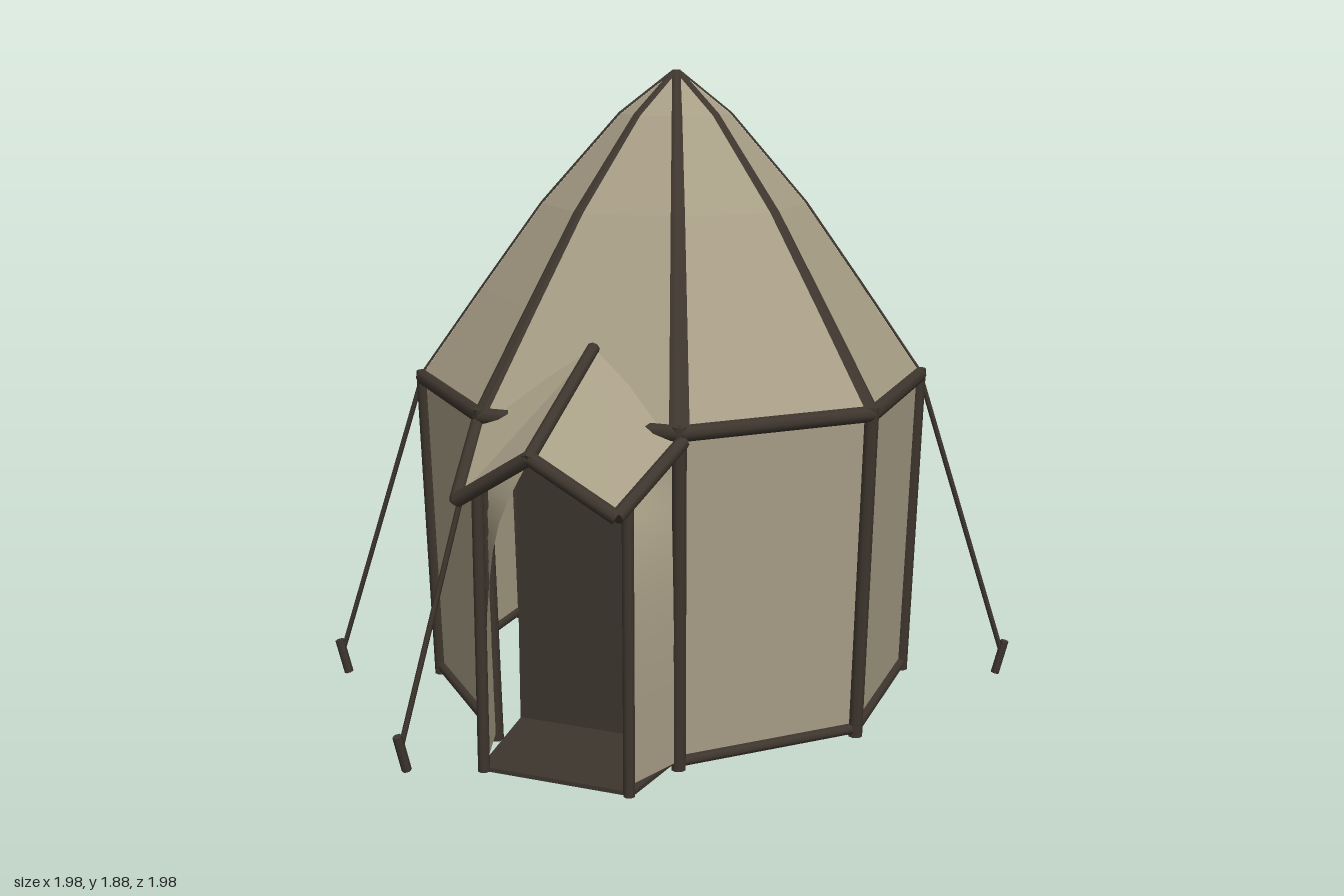
import * as THREE from 'three';

const cloth = new THREE.MeshStandardMaterial({ color: 0xa89e86, side: THREE.DoubleSide });
cloth.name = 'canvas';
const wood = new THREE.MeshStandardMaterial({ color: 0x3e362e, side: THREE.DoubleSide });
wood.name = 'darkWood';

const V = (x, y, z) => new THREE.Vector3(x, y, z);

// Point on octagon corner i (corner 0 is front left), scaled about the tent axis
function corner(i, s, y, shift = 0) {
  const a = (i + 0.5) * Math.PI / 4, r = 0.757 * s;
  return V(Math.sin(a) * r, y, -0.03 - shift + Math.cos(a) * r);
}

// Surface through rows of points, flat faceted unless smooth
function loft(name, rows, material, smooth = false) {
  const pos = [], index = [], n = rows[0].length;
  rows.forEach(row => row.forEach(p => pos.push(p.x, p.y, p.z)));
  for (let r = 0; r < rows.length - 1; r++) {
    for (let k = 0; k < n - 1; k++) {
      const a = r * n + k, b = a + n;
      index.push(a, a + 1, b + 1, a, b + 1, b);
    }
  }
  let g = new THREE.BufferGeometry();
  g.setAttribute('position', new THREE.Float32BufferAttribute(pos, 3));
  g.setIndex(index);
  if (!smooth) g = g.toNonIndexed();
  g.computeVertexNormals();
  const m = new THREE.Mesh(g, material);
  m.name = name;
  return m;
}

// Round pole between two points
function pole(name, a, b, r, sides = 8) {
  const m = new THREE.Mesh(new THREE.CylinderGeometry(r, r, a.distanceTo(b), sides), wood);
  m.position.copy(a).add(b).multiplyScalar(0.5);
  m.quaternion.setFromUnitVectors(V(0, 1, 0), b.clone().sub(a).normalize());
  m.name = name;
  return m;
}

// Main roof profile: scale, height
const PROFILE = [[1, 0.975], [0.76, 1.235], [0.52, 1.49], [0.215, 1.754], [0.012, 1.875]];
const roofPoint = (i, [s, y]) => corner(i, s, y, 0.035 * (1 - s));

function createRoof() {
  const g = new THREE.Group();
  g.name = 'roof';
  for (let i = 0; i < 8; i++) {
    g.add(loft('roofPanel', PROFILE.map(p => [roofPoint(i, p), roofPoint(i + 1, p)]), cloth));
    // Tapered rib, slightly raised along its middle
    const a = (i + 0.5) * Math.PI / 4;
    const out = V(Math.sin(a) * 0.75, 0.66, Math.cos(a) * 0.75);
    const side = V(Math.cos(a), 0, -Math.sin(a));
    g.add(loft('roofRib', PROFILE.map(p => {
      const w = 0.012 + 0.015 * p[0], c = roofPoint(i, p);
      return [[-w, 0.001], [-w * 0.5, 0.007], [w * 0.5, 0.007], [w, 0.001]].map(([u, h]) =>
        c.clone().addScaledVector(side, u).addScaledVector(out, h));
    }), wood));
  }
  const cap = new THREE.Mesh(new THREE.CylinderGeometry(0.012, 0.026, 0.025, 8), wood);
  cap.position.set(0, 1.87, -0.065);
  cap.name = 'roofCap';
  g.add(cap);
  return g;
}

function createWalls() {
  const g = new THREE.Group();
  g.name = 'walls';
  for (let i = 0; i < 8; i++) {
    g.add(pole('cornerPost', corner(i, 0.96, 0.012), corner(i, 1, 0.985), 0.021));
    g.add(pole('eaveBeam', corner(i, 1, 0.965), corner(i + 1, 1, 0.965), 0.023));
    if (i === 7) continue; // the front side is the doorway
    g.add(pole('groundBeam', corner(i, 0.96, 0.035), corner(i + 1, 0.96, 0.035), 0.016));
    g.add(loft('wallPanel', [
      [corner(i, 0.955, 0.03), corner(i + 1, 0.955, 0.03)],
      [corner(i, 0.995, 0.97), corner(i + 1, 0.995, 0.97)],
    ], cloth));
  }
  return g;
}

function createPorch() {
  const g = new THREE.Group();
  g.name = 'porch';
  const ridgeBack = V(0, 1.155, 0.56), ridgeFront = V(0, 0.945, 0.97);
  g.add(pole('ridgePole', ridgeBack, ridgeFront.clone().add(V(0, -0.005, 0.01)), 0.018));
  for (const s of [-1, 1]) {
    const tip = V(s * 0.225, 0.805, 0.94), back = V(s * 0.3, 0.945, 0.67);
    g.add(loft('porchRoof', [[ridgeBack, ridgeFront], [back, tip]], cloth));
    g.add(pole('gableBeam', ridgeFront, tip, 0.02));
    g.add(pole('porchEave', tip, back, 0.02));
    g.add(pole('porchPost', V(s * 0.215, 0.012, 0.843), V(s * 0.215, 0.8, 0.843), 0.017));

    // Tied-back curtain, from the tent corner to a curved free edge
    const edge = new THREE.CatmullRomCurve3([
      V(s * 0.215, 0.035, 0.82), V(s * 0.212, 0.45, 0.81),
      V(s * 0.19, 0.7, 0.77), V(s * 0.13, 0.86, 0.71), V(s * 0.1, 0.94, 0.68)]);
    const rows = [];
    for (let k = 0; k <= 12; k++) {
      const e = edge.getPoint(k / 12);
      const t = (e.y - 0.035) / 0.95;
      rows.push([V(s * (0.278 + 0.012 * t), e.y, 0.643 + 0.027 * t), e]);
    }
    g.add(loft('curtain', rows, cloth, true));
  }

  // Porch floor and dark door behind it
  const shape = new THREE.Shape([[-0.225, -0.845], [0.225, -0.845], [0.27, -0.5], [-0.27, -0.5]]
    .map(p => new THREE.Vector2(...p)));
  const floor = new THREE.Mesh(
    new THREE.ExtrudeGeometry(shape, { depth: 0.012, bevelEnabled: false }), wood);
  floor.rotation.x = -Math.PI / 2;
  floor.position.y = 0.012;
  floor.name = 'porchFloor';
  const door = new THREE.Mesh(new THREE.BoxGeometry(0.54, 0.95, 0.008), wood);
  door.position.set(0, 0.49, 0.5);
  door.name = 'door';
  g.add(floor, door);
  return g;
}

function createGuyLines() {
  const g = new THREE.Group();
  g.name = 'guyLines';
  // Octagon corner and stake position on the ground
  const lines = [[3, 0.42, -0.96], [2, 0.965, -0.4], [5, -0.945, -0.455], [6, -0.965, 0.34], [7, -0.425, 0.915]];
  for (const [i, x, z] of lines) {
    const top = corner(i, 1.01, 0.95);
    const out = V(x - top.x, 0, z - top.z).normalize();
    const foot = V(x, 0.006, z).addScaledVector(out, -0.01);
    const head = V(x, 0.112, z).addScaledVector(out, 0.016);
    g.add(pole('stake', foot, head, 0.014, 6));
    g.add(pole('rope', top, foot.clone().lerp(head, 0.65), 0.008, 6));
  }
  return g;
}

export function createModel() {
  const model = new THREE.Group();
  model.name = 'tent';
  model.add(createRoof(), createWalls(), createPorch(), createGuyLines());
  return model;
}
